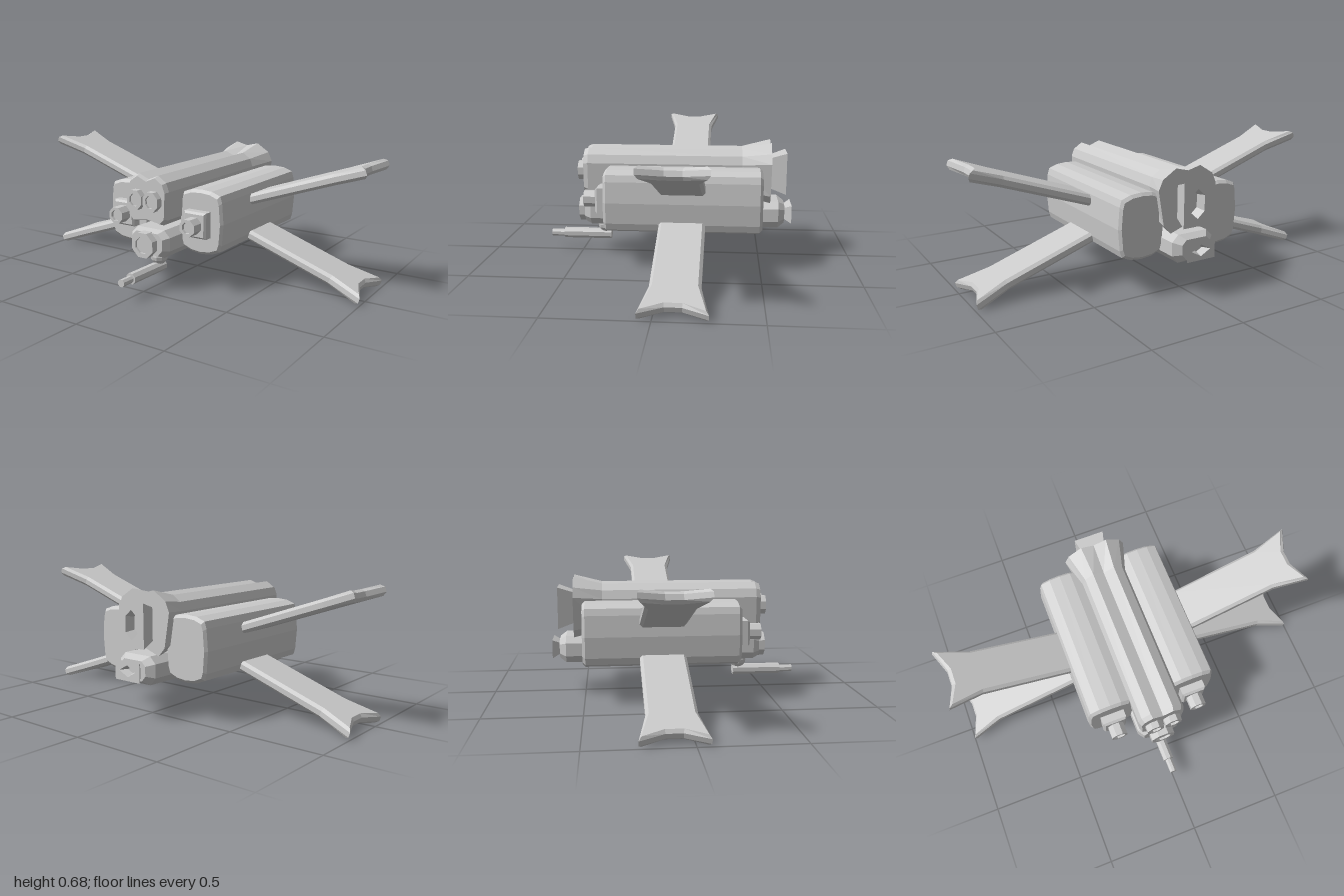
import * as THREE from 'three';

const mat = new THREE.MeshStandardMaterial({ color: 0xcccccc, flatShading: true });

function add(parent, name, geometry, x = 0, y = 0, z = 0) {
  const mesh = new THREE.Mesh(geometry, mat);
  mesh.name = name;
  mesh.position.set(x, y, z);
  parent.add(mesh);
  return mesh;
}

// Right half of a profile (bottom to top) mirrored into a closed outline
function sym(half) {
  const left = half.filter(p => p[0] > 0).reverse().map(([x, y]) => [-x, y]);
  return [...half, ...left];
}

// Outline scaled about a centre height
const inset = (pts, s, cy) => pts.map(([x, y]) => [x * s, cy + (y - cy) * s]);

// Solid through outlines [z, points], ordered back to front
function loft(sections) {
  const pos = [];
  const put = (s, j) => pos.push(s[1][j][0], s[1][j][1], s[0]);
  const n = sections[0][1].length;
  for (let i = 0; i < sections.length - 1; i++) {
    const a = sections[i], b = sections[i + 1];
    for (let j = 0; j < n; j++) {
      const k = (j + 1) % n;
      put(a, j); put(a, k); put(b, k);
      put(a, j); put(b, k); put(b, j);
    }
  }
  const first = sections[0], last = sections[sections.length - 1];
  const tris = s => THREE.ShapeUtils.triangulateShape(s[1].map(p => new THREE.Vector2(...p)), []);
  for (const t of tris(first)) [t[2], t[1], t[0]].forEach(j => put(first, j));
  for (const t of tris(last)) t.forEach(j => put(last, j));
  const g = new THREE.BufferGeometry();
  g.setAttribute('position', new THREE.Float32BufferAttribute(pos, 3));
  g.computeVertexNormals();
  return g;
}

// Faceted cylinder along z with its back at z = 0
function rod(r, len, sides = 8) {
  return new THREE.CylinderGeometry(r, r, len, sides)
    .rotateY(Math.PI / sides).rotateX(Math.PI / 2).translate(0, 0, len / 2);
}

// Faceted cup facing +z with a shallow recess
function cup(r, inner, len, depth, sides = 8) {
  const profile = [[0, 0], [r, 0], [r, len], [inner, len], [inner, len - depth], [0, len - depth]];
  return new THREE.LatheGeometry(profile.map(p => new THREE.Vector2(...p)), sides)
    .rotateY(Math.PI / sides).rotateX(Math.PI / 2);
}

// Rectangular exhaust that widens to the rear, with a pocket in its end
function nozzle(w, h, len, narrow, hole) {
  const shape = new THREE.Shape([[-w, -h], [w, -h], [w, h], [-w, h]].map(p => new THREE.Vector2(...p)));
  shape.holes.push(new THREE.Path(hole.map(p => new THREE.Vector2(...p)).concat(new THREE.Vector2(...hole[0]))));
  const g = new THREE.ExtrudeGeometry(shape, { depth: len, bevelEnabled: false });
  const p = g.attributes.position;
  for (let i = 0; i < p.count; i++) {
    const s = 1 + (narrow - 1) * p.getZ(i) / len;
    p.setXY(i, p.getX(i) * s, p.getY(i) * s);
  }
  g.computeVertexNormals();
  return g;
}

// Wing plate with a forked, flared tip, lying along +x
function wingGeometry() {
  const half = [[0, 0.12], [0.51, 0.12], [0.695, 0.16], [0.648, 0.04]];
  const outline = [...half, ...half.slice().reverse().map(([u, v]) => [u, -v])];
  const b = 0.015, t = 0.056;
  return new THREE.ExtrudeGeometry(new THREE.Shape(outline.map(p => new THREE.Vector2(...p))), {
    depth: t - 2 * b, bevelThickness: b, bevelSize: b, bevelOffset: -b, bevelSegments: 1,
  }).translate(0, 0, b - t / 2).rotateX(Math.PI / 2);
}

export function createModel() {
  const model = new THREE.Group();
  model.name = 'starfighter';

  // Upper hull with a grooved top that flares at the rear
  const hull = sym([[0, 0.385], [0.09, 0.37], [0.118, 0.4], [0.125, 0.545], [0.108, 0.59], [0.06, 0.622], [0, 0.597]]);
  const flare = sym([[0, 0.37], [0.1, 0.335], [0.14, 0.38], [0.172, 0.56], [0.148, 0.612], [0.072, 0.66], [0, 0.642]]);
  add(model, 'upperHull', loft([[-0.555, flare], [-0.4, hull], [0.44, hull], [0.465, inset(hull, 0.92, 0.5)]]));

  // Lower hull
  const keel = sym([[0.085, 0.195], [0.12, 0.235], [0.12, 0.305], [0.085, 0.34]]);
  const keelEnd = inset(keel, 0.7, 0.267);
  add(model, 'lowerHull', loft([[-0.635, keelEnd], [-0.6, keel], [0.43, keel], [0.465, inset(keel, 0.8, 0.267)]]));

  // Exhausts
  add(model, 'upperExhaust', nozzle(0.083, 0.113, 0.085, 0.74,
    [[0, -0.075], [0.04, -0.04], [0.04, 0.04], [0, 0.075], [-0.04, 0.04], [-0.04, -0.04]]), 0, 0.492, -0.64);
  add(model, 'upperExhaustFloor', new THREE.BoxGeometry(0.1, 0.15, 0.02), 0, 0.492, -0.575);
  add(model, 'lowerExhaust', nozzle(0.083, 0.05, 0.04, 0.6,
    [[0, -0.03], [0.055, 0], [0, 0.03], [-0.055, 0]]), 0, 0.267, -0.674);

  // Front sensors
  add(model, 'noseSensor', cup(0.07, 0.045, 0.05, 0.012), 0, 0.265, 0.455);
  for (const s of [-1, 1]) {
    const lamp = add(model, 'headlight', cup(0.054, 0.034, 0.045, 0.012), s * 0.05, 0.495, 0.455);
    lamp.scale.x = 0.9;
  }

  // Side pods and their guns
  const pod = sym([[0, 0.208], [0.06, 0.215], [0.11, 0.235], [0.121, 0.27], [0.13, 0.38],
    [0.121, 0.49], [0.11, 0.525], [0.06, 0.543], [0, 0.548]]);
  const podEnd = inset(pod, 0.91, 0.38);
  const podShape = loft([[-0.505, podEnd], [-0.49, pod], [0.305, pod], [0.32, podEnd]]);
  const mount = sym([[0.065, 0.307], [0.065, 0.443]]);
  const mountShape = loft([[0.31, mount], [0.36, mount], [0.372, inset(mount, 0.85, 0.375)]]);
  for (const s of [-1, 1]) {
    add(model, 'sidePod', podShape, s * 0.23);
    add(model, 'gunMount', mountShape, s * 0.228);
    add(model, 'sideGun', cup(0.046, 0.03, 0.075, 0.015), s * 0.228, 0.375, 0.362);
  }

  // Belly turret
  const turret = new THREE.Group();
  turret.name = 'bellyTurret';
  model.add(turret);
  add(turret, 'ballJoint', new THREE.SphereGeometry(0.046, 10, 8), 0, 0.174, 0.362);
  add(turret, 'gunBody', rod(0.03, 0.27), 0, 0.116, 0.332);
  add(turret, 'gunBarrel', rod(0.02, 0.08), 0, 0.114, 0.597);

  // Four splayed wings
  const wing = wingGeometry(), tilt = 0.33;
  for (const side of [1, -1]) for (const up of [1, -1]) {
    const w = add(model, up > 0 ? 'upperWing' : 'lowerWing', wing, side * 0.335, 0.357 + up * 0.094, -0.092);
    w.rotation.z = side > 0 ? up * tilt : Math.PI - up * tilt;
  }
  return model;
}
